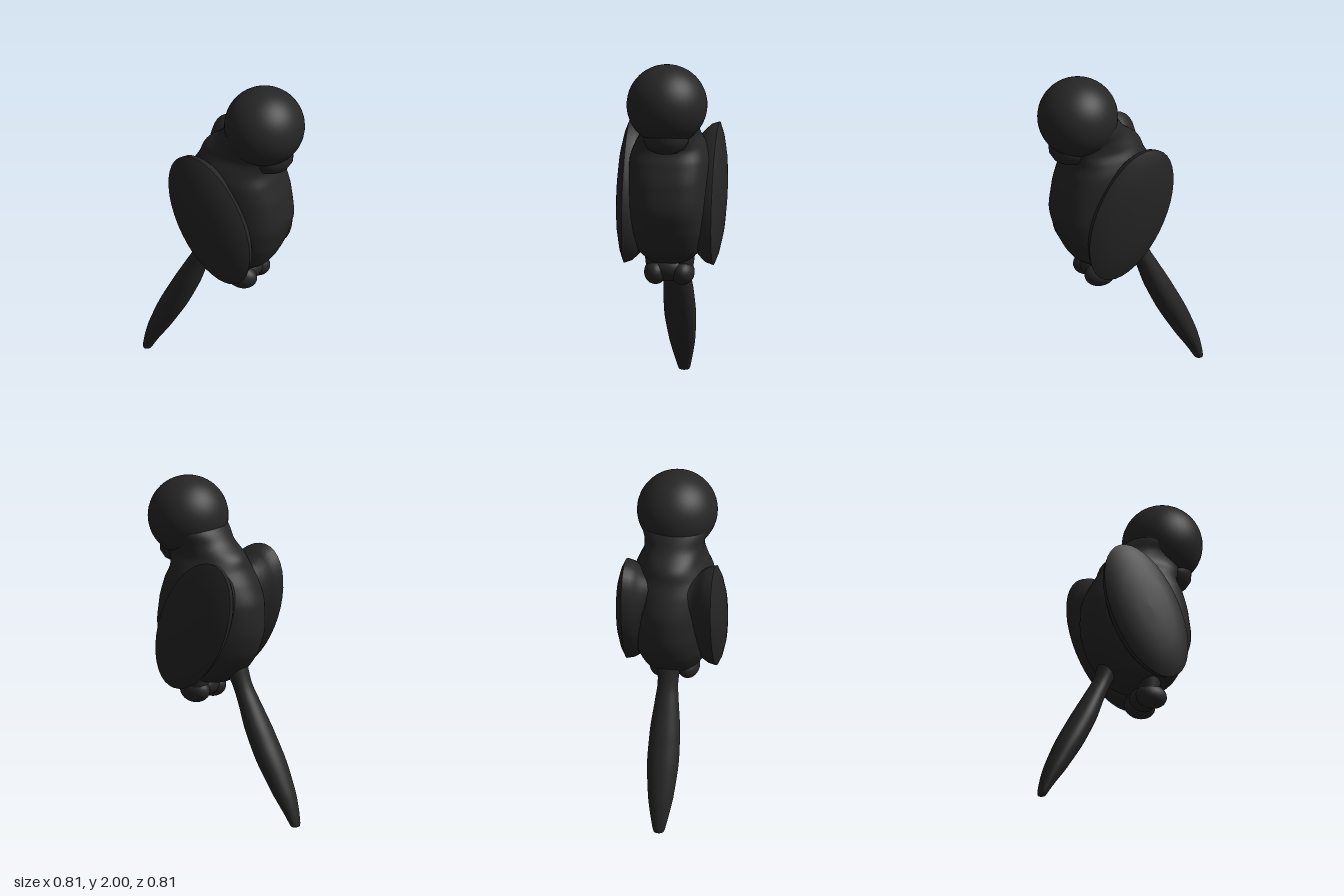
import * as THREE from 'three';

// Smooth closed loft through oval rings [y, zCentre, zRadius, xRadius], listed bottom to top.
// A frontPower above 2 squares off the front half of each ring.
function loft(rings, frontPower = 2, steps = 48, sides = 48) {
  const centre = new THREE.CatmullRomCurve3(rings.map(r => new THREE.Vector3(0, r[0], r[1])));
  const radius = new THREE.CatmullRomCurve3(rings.map(r => new THREE.Vector3(r[3], 0, r[2])));
  const pos = [], index = [];
  for (let i = 0; i <= steps; i++) {
    const c = centre.getPoint(i / steps), r = radius.getPoint(i / steps);
    for (let j = 0; j < sides; j++) {
      const a = (j / sides) * Math.PI * 2, u = Math.cos(a), v = Math.sin(a);
      const n = v > 0 ? frontPower : 2;
      const k = Math.pow(Math.abs(u) ** n + Math.abs(v) ** n, -1 / n);
      pos.push(r.x * u * k, c.y, c.z + r.z * v * k);
      if (i === steps) continue;
      const p = i * sides + j, q = i * sides + (j + 1) % sides;
      index.push(p, p + sides, q, q, p + sides, q + sides);
    }
  }
  const g = new THREE.BufferGeometry();
  g.setAttribute('position', new THREE.Float32BufferAttribute(pos, 3));
  g.setIndex(index);
  g.computeVertexNormals();
  return g;
}

const lathe = pts => new THREE.LatheGeometry(pts.map(p => new THREE.Vector2(...p)), 40);

export function createModel() {
  const model = new THREE.Group();
  model.name = 'bird';
  const bird = new THREE.Group();
  bird.name = 'birdBody';
  bird.rotation.y = Math.PI / 4; // the bird looks diagonally between +x and +z
  model.add(bird);

  const charcoal = new THREE.MeshStandardMaterial({ color: 0x262626 });
  charcoal.name = 'charcoal';
  const add = (name, geometry, x = 0, y = 0, z = 0) => {
    const m = new THREE.Mesh(geometry, charcoal);
    m.name = name;
    m.position.set(x, y, z);
    bird.add(m);
    return m;
  };

  // Torso running up into the neck, squarer across the chest
  add('torso', loft([
    [0.785, 0.075, 0.002, 0.002],
    [0.805, 0.075, 0.12, 0.1],
    [0.87, 0.07, 0.215, 0.18],
    [1.0, 0.057, 0.292, 0.225],
    [1.15, 0.054, 0.329, 0.238],
    [1.3, 0.047, 0.315, 0.24],
    [1.42, 0.052, 0.27, 0.235],
    [1.5, 0.06, 0.232, 0.207],
    [1.57, 0.088, 0.23, 0.175],
    [1.64, 0.145, 0.205, 0.178],
    [1.71, 0.195, 0.205, 0.204],
    [1.8, 0.235, 0.18, 0.18],
  ], 3, 66));

  add('head', new THREE.SphereGeometry(0.236, 40, 28), 0, 1.764, 0.238);

  // Broad blunt beak under the face
  add('beak', lathe([
    [0, 1.485], [0.07, 1.49], [0.105, 1.51], [0.13, 1.55], [0.132, 1.58], [0.13, 1.61], [0.135, 1.68],
  ]), 0, 0, 0.28);

  // Tail sweeping down and back
  add('tail', loft([
    [0.0, -0.537, 0.002, 0.002],
    [0.008, -0.537, 0.024, 0.03],
    [0.08, -0.51, 0.042, 0.05],
    [0.2, -0.452, 0.067, 0.075],
    [0.4, -0.35, 0.084, 0.093],
    [0.55, -0.275, 0.08, 0.088],
    [0.7, -0.205, 0.064, 0.07],
    [0.8, -0.155, 0.058, 0.06],
    [0.96, -0.08, 0.08, 0.08],
  ]));

  // Wings: tilted oval discs with a domed face and a flared back
  const face = [[1, 0.263], [0.85, 0.286], [0.6, 0.307], [0.3, 0.318], [0, 0.321]];
  const flare = [[0.76, 0.05], [0.77, 0.12], [0.81, 0.155], [0.9, 0.19], [0.965, 0.22], [1, 0.263]];
  for (const [side, label] of [[1, 'left'], [-1, 'right']]) {
    for (const [part, profile] of [['WingFace', face], ['WingFlare', flare]]) {
      const g = lathe(profile);
      g.scale(0.426, 1, 0.227);
      g.rotateZ(-side * Math.PI / 2);
      g.rotateX(-0.417);
      add(label + part, g, 0, 1.19, 0.013);
    }
    // Feet tucked under the belly
    add(label + 'Foot', new THREE.SphereGeometry(1, 24, 16), side * 0.08, 0.74, 0.13)
      .scale.set(0.068, 0.073, 0.096);
    add(label + 'Leg', new THREE.CylinderGeometry(0.078, 0.06, 0.14, 20), side * 0.075, 0.81, 0.115);
  }
  // Pad joining the feet
  add('footPad', new THREE.SphereGeometry(1, 24, 16), 0, 0.76, 0.125).scale.set(0.12, 0.075, 0.085);
  return model;
}
